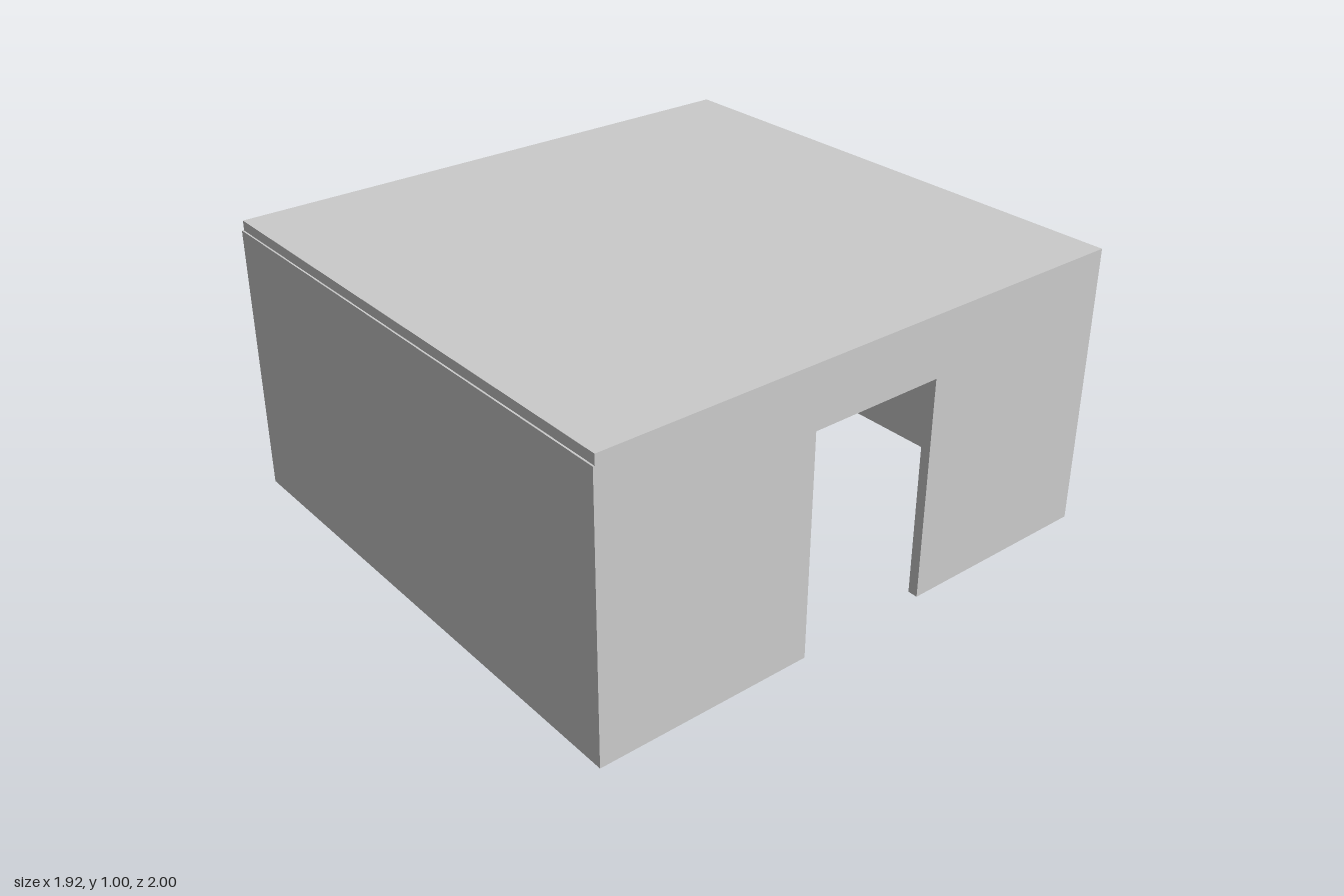
import * as THREE from 'three';

const T = 0.035; // panel thickness
const X = 0.96, WALL_H = 1 - T;

export function createModel() {
  const group = new THREE.Group();
  const grey = new THREE.MeshStandardMaterial({ color: 0xcccccc });
  const red = new THREE.MeshStandardMaterial({ color: 0xcc1845 });

  // box panel given by its minimum and maximum corners
  const panel = (name, min, max, material = grey) => {
    const size = max.map((v, i) => v - min[i]);
    const mesh = new THREE.Mesh(new THREE.BoxGeometry(...size), material);
    mesh.position.set(...max.map((v, i) => (v + min[i]) / 2));
    mesh.name = name;
    group.add(mesh);
  };

  // roof slab, stopping just short of the front and side wall faces
  panel('roof', [-X + 0.004, WALL_H, -1], [X, 1, 0.994]);

  // long walls
  panel('frontWall', [-X, 0, 1 - T], [X - T, WALL_H, 1]);
  panel('backWall', [-X, 0, -1], [X - T, WALL_H, -1 + T]);

  // coloured side wall between the long walls
  panel('colouredWall', [-X, 0, -1 + T], [-X + T, WALL_H, 1 - T], red);

  // side wall with a doorway open to the ground, drawn in (-z, y)
  const outline = new THREE.Shape([
    [-1, 0], [-0.23, 0], [-0.23, 0.785], [0.26, 0.785],
    [0.26, 0], [1, 0], [1, WALL_H], [-1, WALL_H],
  ].map(([u, y]) => new THREE.Vector2(u, y)));
  const doorWall = new THREE.Mesh(
    new THREE.ExtrudeGeometry(outline, { depth: T, bevelEnabled: false }), grey);
  doorWall.rotation.y = Math.PI / 2;
  doorWall.position.x = X - T;
  doorWall.name = 'doorwayWall';
  group.add(doorWall);

  return group;
}
